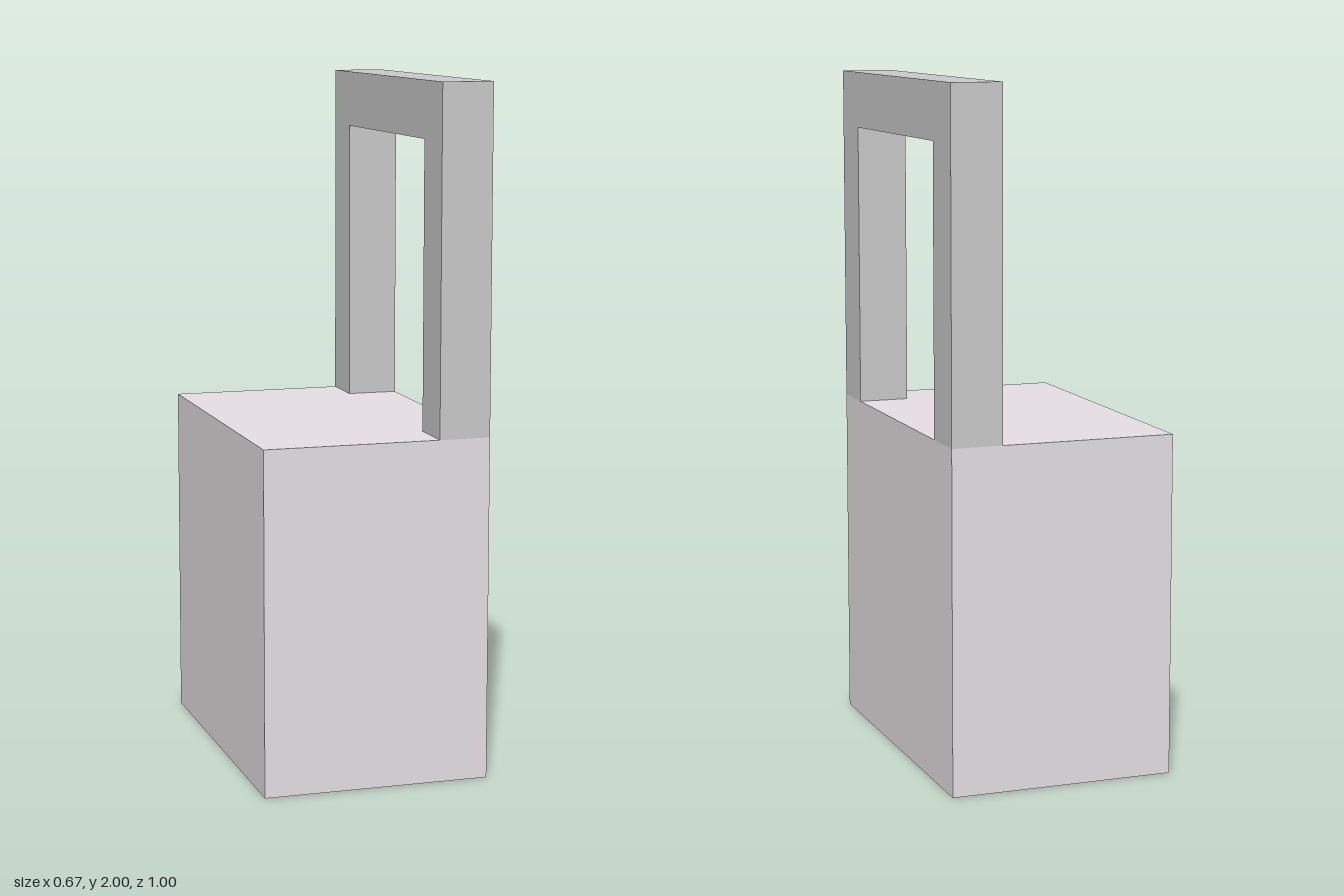
import * as THREE from 'three';

const WIDTH = 0.665, DEPTH = 1, BODY_H = 1, TOTAL_H = 2;
const FRAME_T = 0.15, POST_W = 0.15, RAIL_H = 0.165;

export function createModel() {
  const group = new THREE.Group();
  const bodyMat = new THREE.MeshStandardMaterial({ color: 0xe7e1e5 });
  const frameMat = new THREE.MeshStandardMaterial({ color: 0xcccccc });

  // Solid block
  const body = new THREE.Mesh(new THREE.BoxGeometry(WIDTH, BODY_H, DEPTH), bodyMat);
  body.name = 'body';
  body.position.y = BODY_H / 2;
  group.add(body);

  // Upright arch along one long edge: two posts joined by a top rail
  const o = DEPTH / 2, i = o - POST_W, railY = TOTAL_H - RAIL_H;
  const arch = new THREE.Shape([
    [-o, BODY_H], [-i, BODY_H], [-i, railY], [i, railY],
    [i, BODY_H], [o, BODY_H], [o, TOTAL_H], [-o, TOTAL_H],
  ].map(([x, y]) => new THREE.Vector2(x, y)));
  const archGeo = new THREE.ExtrudeGeometry(arch, { depth: FRAME_T, bevelEnabled: false });
  archGeo.rotateY(Math.PI / 2);
  archGeo.translate(WIDTH / 2 - FRAME_T, 0, 0);
  const frame = new THREE.Mesh(archGeo, frameMat);
  frame.name = 'archFrame';
  group.add(frame);

  return group;
}
